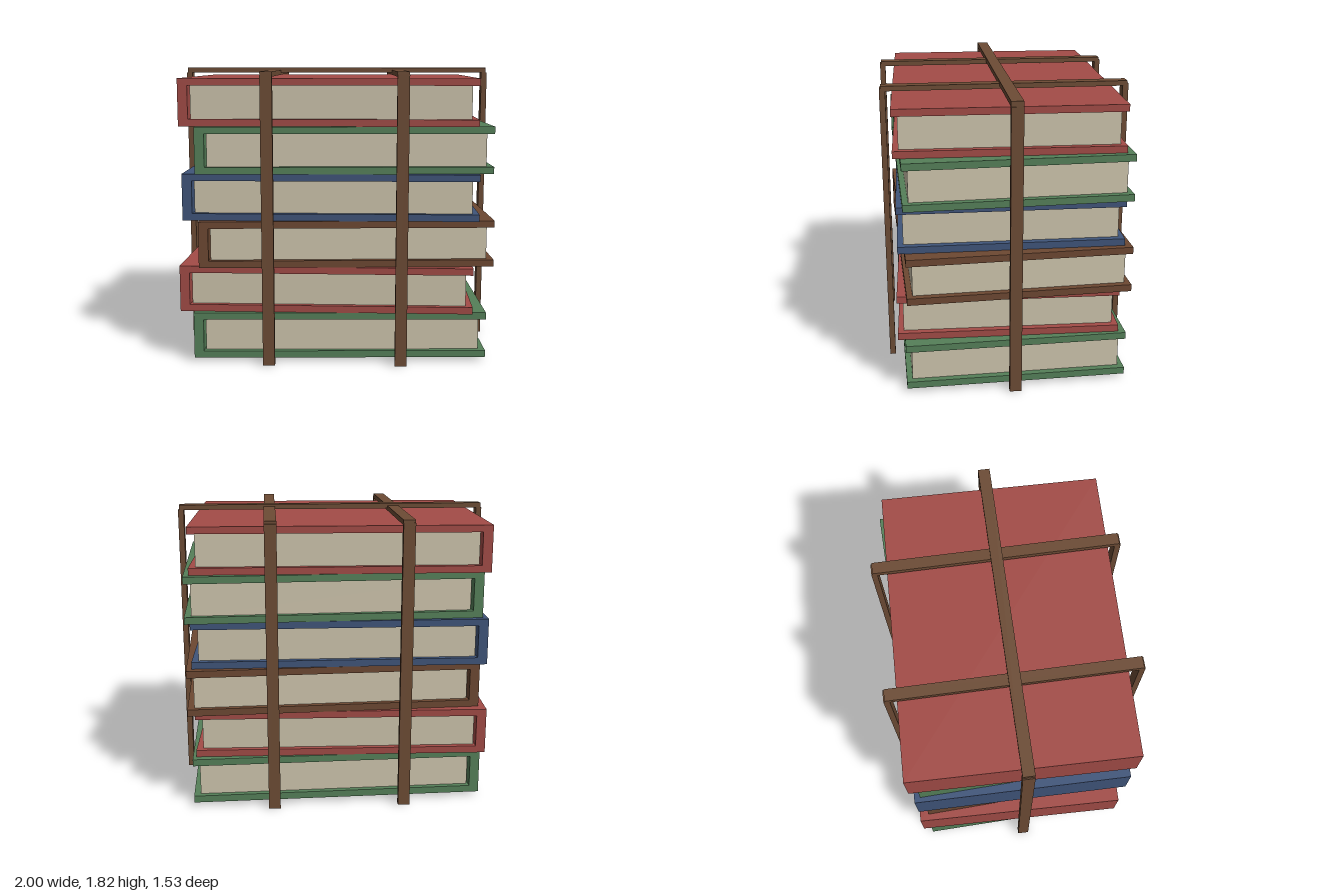
import * as THREE from 'three';

const flat = (name, color) => {
  const m = new THREE.MeshStandardMaterial({ color });
  m.name = name;
  return m;
};

// Book size: width (x), depth (z), height and board thicknesses
const W = 1.818, D = 1.36, H = 0.288, PITCH = 0.289, BASE = 0.027;
const COVER = 0.043, SPINE = 0.06;

// C-shaped case: two boards joined by a spine on the -x side
function caseGeometry() {
  const l = -W / 2, r = W / 2, inner = l + SPINE;
  const points = [
    [l, 0], [r, 0], [r, COVER], [inner, COVER],
    [inner, H - COVER], [r, H - COVER], [r, H], [l, H],
  ].map(([x, y]) => new THREE.Vector2(x, y));
  return new THREE.ExtrudeGeometry(new THREE.Shape(points), { depth: D, bevelEnabled: false })
    .translate(0, 0, -D / 2);
}

// Page block, set back from the case on every open side
function pagesGeometry() {
  const x0 = -W / 2 + 0.07, x1 = W / 2 - 0.041;
  return new THREE.BoxGeometry(x1 - x0, H - 2 * COVER, 1.29).translate((x0 + x1) / 2, H / 2, 0);
}

export function createModel() {
  const model = new THREE.Group();
  model.name = 'strappedBookStack';

  const red = flat('red cloth', 0xa34c47);
  const green = flat('green cloth', 0x558059);
  const blue = flat('blue cloth', 0x40557a);
  const brown = flat('brown cloth', 0x6d4832);
  const paper = flat('paper', 0xcec5ad);
  const leather = flat('leather strap', 0x6d4c35);

  const add = (parent, name, geometry, material) => {
    const mesh = new THREE.Mesh(geometry, material);
    mesh.name = name;
    parent.add(mesh);
    return mesh;
  };

  // Books from bottom to top: cloth, x offset, turn about y
  const books = [
    [green, 0.017, 0.021],
    [red, -0.038, -0.029],
    [brown, 0.047, 0.038],
    [blue, -0.019, -0.012],
    [green, 0.039, 0.03],
    [red, -0.027, -0.022],
  ];
  const caseGeo = caseGeometry(), pagesGeo = pagesGeometry();
  books.forEach(([cloth, x, turn], i) => {
    const book = new THREE.Group();
    book.name = `book${i + 1}`;
    add(book, 'cover', caseGeo, cloth);
    add(book, 'pages', pagesGeo, paper);
    book.position.set(x, BASE + i * PITCH, 0);
    book.rotation.y = turn;
    model.add(book);
  });

  // Strap: a bar over the top with a leg down each end, running along z
  const STRAP = 0.073, LEG = 0.036, LEG_TOP = 1.785;
  function strap(name, reach, barBottom, barTop, barReach) {
    const group = new THREE.Group();
    group.name = name;
    add(group, 'strapTop', new THREE.BoxGeometry(STRAP, barTop - barBottom, 2 * barReach), leather)
      .position.y = (barTop + barBottom) / 2;
    for (const s of [-1, 1]) {
      add(group, 'strapLeg', new THREE.BoxGeometry(STRAP, LEG_TOP, LEG), leather)
        .position.set(0, LEG_TOP / 2, s * (reach - LEG / 2));
    }
    model.add(group);
    return group;
  }
  for (const s of [-1, 1]) strap('crossStrap', 0.765, 1.771, 1.802, 0.757).position.x = s * 0.407;
  strap('longStrap', 1, 1.785, 1.817, 0.993).rotation.y = Math.PI / 2;

  return model;
}
